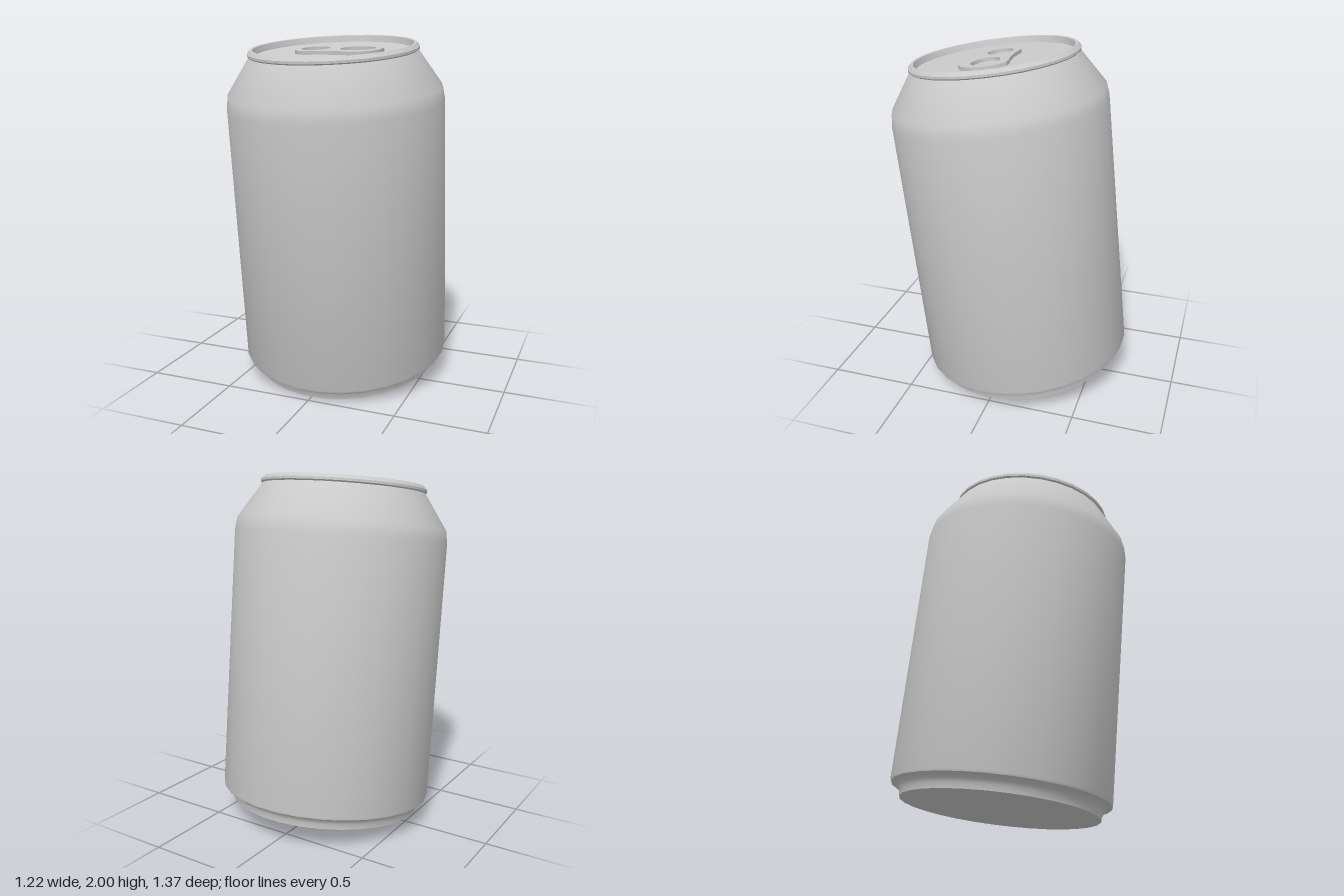
import * as THREE from 'three';
import { toCreasedNormals } from 'three/addons/utils/BufferGeometryUtils.js';

const SIDES = 30;
const PANEL = 1.84; // height of the lid panel along the can's axis

export function createModel() {
  const can = new THREE.Group();
  can.name = 'drinkCan';
  const material = new THREE.MeshStandardMaterial({ color: 0xcccccc });

  // Leaning frame: the axis tips forwards, the rings tip very slightly more
  const axisTilt = THREE.MathUtils.degToRad(6.5);
  const ringTilt = THREE.MathUtils.degToRad(7.7);
  const lean = new THREE.Matrix4().makeBasis(
    new THREE.Vector3(1, 0, 0),
    new THREE.Vector3(0, Math.cos(axisTilt), Math.sin(axisTilt)),
    new THREE.Vector3(0, -Math.sin(ringTilt), Math.cos(ringTilt))
  ).setPosition(0, 0.074, -0.095);

  function add(name, geometry) {
    const mesh = new THREE.Mesh(toCreasedNormals(geometry, 0.6).applyMatrix4(lean), material);
    mesh.name = name;
    can.add(mesh);
  }

  // Turned part from [radius, height] pairs
  function turned(name, profile) {
    const points = profile.map(([r, h]) => new THREE.Vector2(r, h));
    add(name, new THREE.LatheGeometry(points, SIDES, Math.PI / SIDES));
  }

  // Flat bottom and the concave foot
  turned('base', [[0, 0], [0.552, 0], [0.556, 0.03], [0.568, 0.052], [0.588, 0.066], [0.607, 0.073]]);

  // Straight wall and tapered shoulder
  turned('body', [[0.607, 0.073], [0.611, 0.085], [0.611, 1.569], [0.6, 1.64], [0.468, 1.838]]);

  // Rolled rim, inner wall and recessed lid
  turned('rim', [[0.468, 1.838], [0.476, 1.845], [0.476, 1.858], [0.46, 1.878], [0.446, 1.876], [0.438, PANEL]]);
  turned('lid', [[0.438, PANEL], [0, PANEL]]);

  // Pull tab: waisted outline, mirrored across its length, with two oval holes
  const half = [[-0.205, 0.06], [-0.172, 0.1], [-0.13, 0.115], [-0.02, 0.106], [0.08, 0.116],
    [0.15, 0.133], [0.2, 0.136], [0.25, 0.1], [0.28, 0.045]];
  const outline = [
    [-0.223, 0], ...half.map(([x, y]) => [x, -y]),
    [0.289, 0], ...half.slice().reverse()
  ].map(([x, y]) => new THREE.Vector2(x, y));
  const tab = new THREE.Shape(outline);
  for (const [x, rx, ry] of [[-0.105, 0.082, 0.073], [0.145, 0.102, 0.077]]) {
    const hole = new THREE.Path();
    hole.absellipse(x, 0, rx, ry, 0, Math.PI * 2, true, 0);
    tab.holes.push(hole);
  }
  const tabGeometry = new THREE.ExtrudeGeometry(tab, { depth: 0.02, bevelEnabled: false, curveSegments: 7 });
  tabGeometry.rotateX(-Math.PI / 2).translate(0, PANEL, 0);
  add('pullTab', tabGeometry);

  return can;
}
